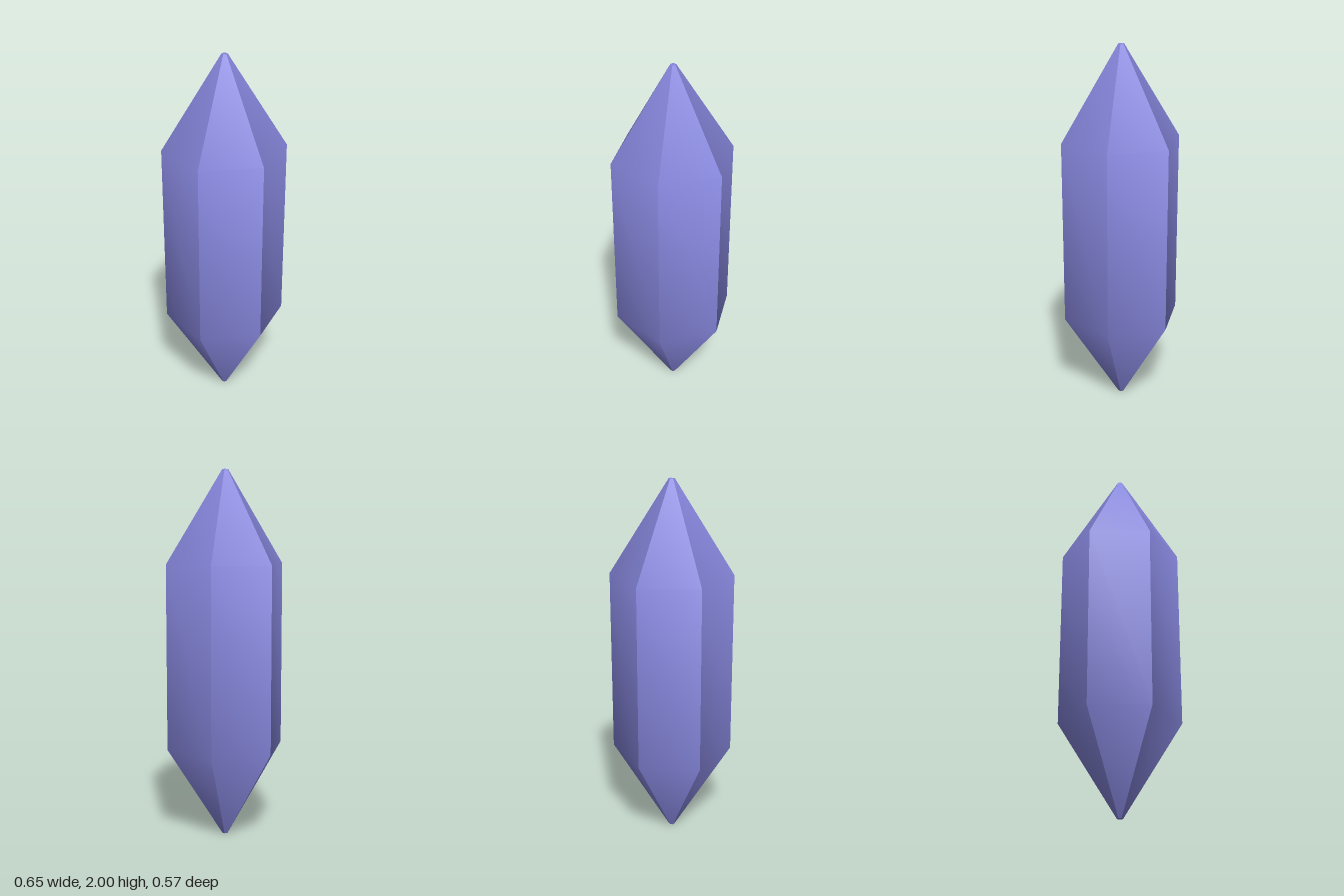
import * as THREE from 'three';
import { toCreasedNormals } from 'three/addons/utils/BufferGeometryUtils.js';

const SIDES = 6, RADIUS = 0.325, TIP = 0.016, DEPTH = 1.016;

export function createModel() {
  const model = new THREE.Group();
  model.name = 'crystal';
  const violet = new THREE.MeshStandardMaterial({ color: 0x8888e0 });
  violet.name = 'crystal violet';

  // Six-sided shaft tapering at both ends; each side is smooth along its length, sharp between sides
  const profile = [[TIP, 0], [RADIUS, 0.5], [RADIUS, 1.5], [TIP, 2]].map(([r, y]) => new THREE.Vector2(r, y));
  const shaftGeometry = new THREE.LatheGeometry(profile, SIDES, Math.PI / 2);
  shaftGeometry.scale(1, 1, DEPTH);
  const shaft = new THREE.Mesh(toCreasedNormals(shaftGeometry, 0.7), violet);
  shaft.name = 'crystalShaft';
  model.add(shaft);

  // Tiny flat facets closing the two points
  for (const [name, y, turn] of [['topFacet', 2, -1], ['bottomFacet', 0, 1]]) {
    const geometry = new THREE.CircleGeometry(TIP, SIDES);
    geometry.rotateX(turn * Math.PI / 2).scale(1, 1, DEPTH);
    const facet = new THREE.Mesh(geometry, violet);
    facet.name = name;
    facet.position.y = y;
    model.add(facet);
  }
  return model;
}
